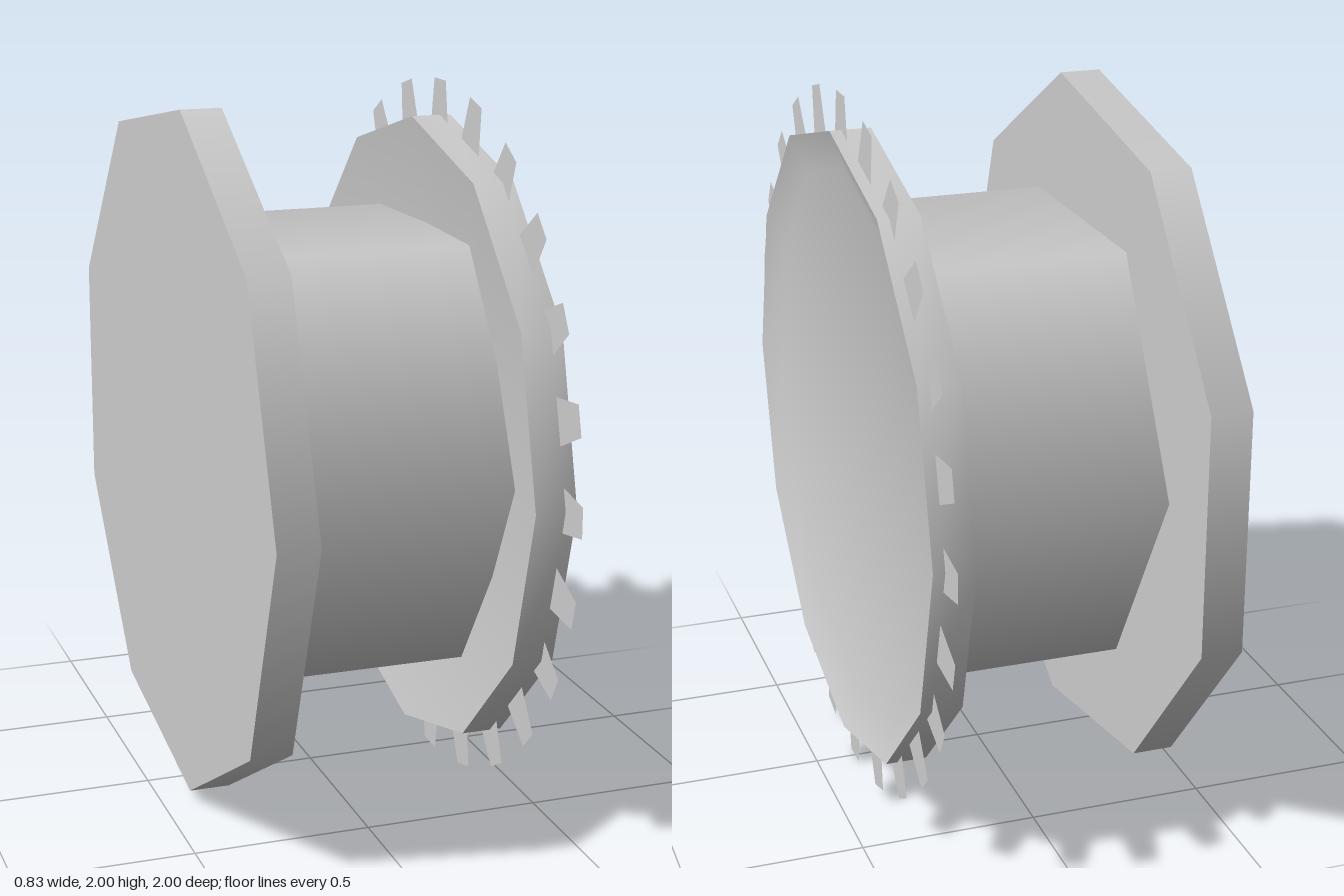
import * as THREE from 'three';
import { toCreasedNormals } from 'three/addons/utils/BufferGeometryUtils.js';

const material = new THREE.MeshStandardMaterial({ color: 0xcccccc });
const thinMaterial = new THREE.MeshStandardMaterial({ color: 0xcccccc, side: THREE.DoubleSide });

// Prism lying along x, with a corner towards +z
function prism(name, radius, x0, x1, sides) {
  const geometry = new THREE.CylinderGeometry(radius, radius, x1 - x0, sides);
  geometry.rotateZ(-Math.PI / 2).translate((x0 + x1) / 2, 0, 0);
  const mesh = new THREE.Mesh(geometry, material);
  mesh.name = name;
  return mesh;
}

// Twelve-sided disc, dished on both faces
function dishedDisc() {
  const profile = [[0, 0.36], [0.55, 0.36], [0.9, 0.3], [0.9, 0.415], [0.79, 0.375], [0, 0.375]];
  const lathe = new THREE.LatheGeometry(profile.map(([r, x]) => new THREE.Vector2(r, x)), 12);
  const geometry = toCreasedNormals(lathe, 0.8);
  geometry.rotateZ(-Math.PI / 2);
  const mesh = new THREE.Mesh(geometry, material);
  mesh.name = 'sprocketDisc';
  return mesh;
}

// Ring of flat tapered teeth around the disc
function teethRing(count) {
  const ring = new THREE.Group();
  ring.name = 'teeth';
  const outline = [[-0.065, 0.86], [0.065, 0.86], [0.042, 1], [-0.042, 1]];
  const tooth = new THREE.ShapeGeometry(new THREE.Shape(outline.map(([z, r]) => new THREE.Vector2(z, r))));
  tooth.rotateY(Math.PI / 2);
  for (let i = 0; i < count; i++) {
    const mesh = new THREE.Mesh(tooth, thinMaterial);
    mesh.name = 'tooth';
    mesh.position.x = 0.383;
    mesh.rotation.x = (i / count) * Math.PI * 2;
    ring.add(mesh);
  }
  return ring;
}

export function createModel() {
  const wheel = new THREE.Group();
  wheel.name = 'sprocketWheel';
  wheel.add(
    prism('outerFlange', 0.985, -0.42, -0.305, 9),
    prism('hub', 0.685, -0.31, 0.365, 6),
    dishedDisc(),
    teethRing(24)
  );
  wheel.position.y = 1;
  const model = new THREE.Group();
  model.add(wheel);
  return model;
}
